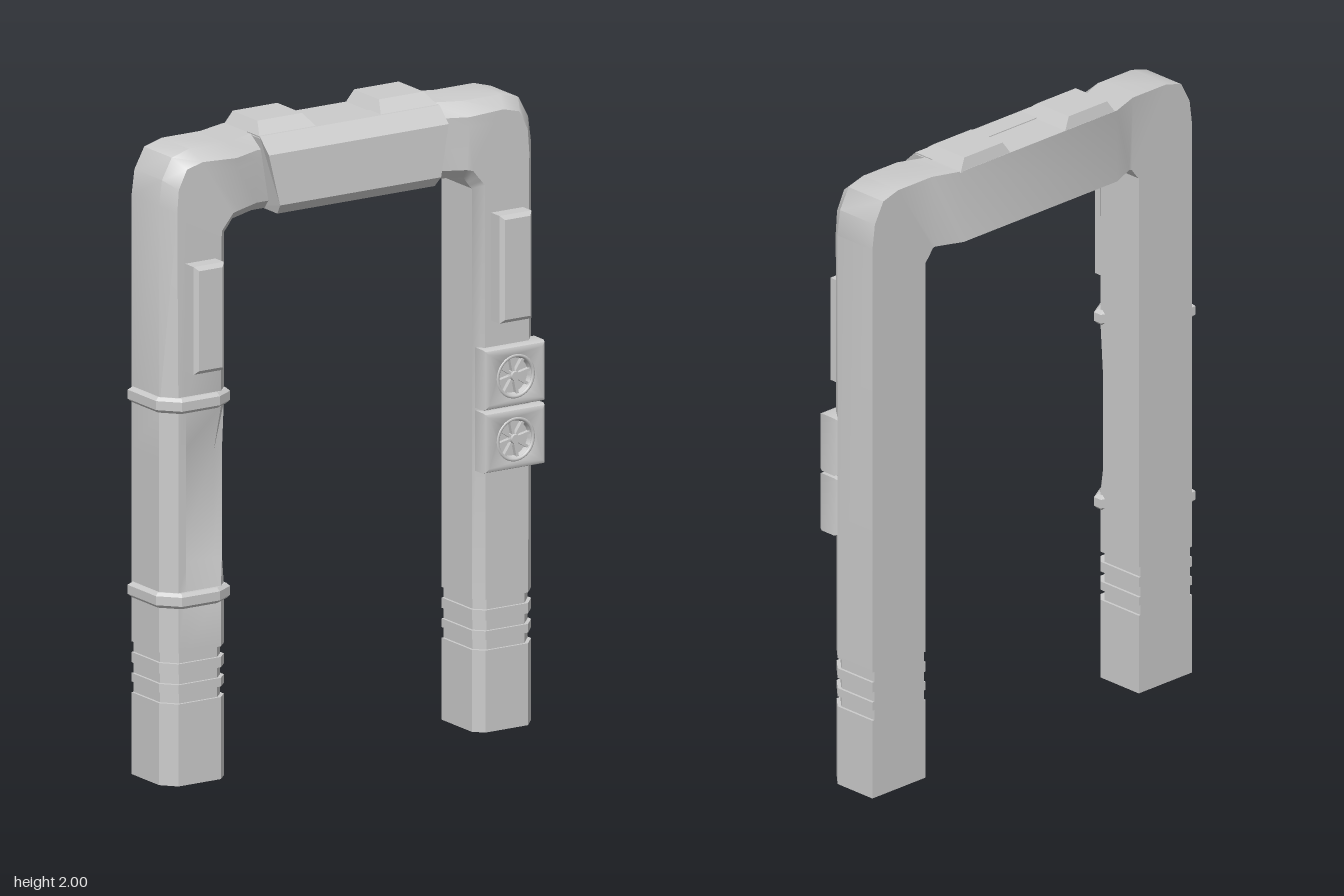
import * as THREE from 'three';
import { toCreasedNormals } from 'three/addons/utils/BufferGeometryUtils.js';

const mat = new THREE.MeshStandardMaterial({ color: 0xcccccc });

function add(parent, name, geo, x = 0, y = 0, z = 0) {
  const m = new THREE.Mesh(geo, mat);
  m.name = name;
  m.position.set(x, y, z);
  parent.add(m);
  return m;
}

// Rectangular shape centred on the origin
function rect(w, h) {
  return new THREE.Shape([[-w, -h], [w, -h], [w, h], [-w, h]].map(([x, y]) => new THREE.Vector2(x / 2, y / 2)));
}

// Extrusion from z0 to z1 whose bevel stays inside the given outline
function slab(shape, z0, z1, bevel, bevelSegments = 1) {
  return new THREE.ExtrudeGeometry(shape, {
    depth: z1 - z0 - 2 * bevel, bevelThickness: bevel, bevelSize: bevel, bevelOffset: -bevel, bevelSegments, curveSegments: 24,
  }).translate(0, 0, z0 + bevel);
}

// Stations along one half of the arch, foot to centre:
// inner x,y, outer x,y, back z, front z, groove inset, recess floor z
function halfStations(recessed) {
  const st = [];
  const leg = (y, inset = 0, floor = 1) => st.push([0.445, y, 0.6675, y, -0.11, 0.085, inset, floor]);
  leg(0);
  for (const y of [0.255, 0.315, 0.38]) {
    leg(y); leg(y, 0.008); leg(y + 0.033, 0.008); leg(y + 0.033);
  }
  if (recessed) {
    leg(0.6); leg(0.68, 0, 0.045); leg(1.01, 0, 0.045); leg(1.16);
  }
  const bend = [
    [0.445, 1.69, 0.6675, 1.80], [0.436, 1.7, 0.657, 1.88], [0.428, 1.71, 0.622, 1.945],
    [0.415, 1.728, 0.56, 1.963], [0.405, 1.73, 0.42, 1.963],
  ];
  for (const b of bend) st.push([...b, -0.11, 0.085, 0, 1]);
  st.push([0.32, 1.73, 0.32, 1.963, -0.145, 0.045, 0, 1]);
  return st;
}

// Chamfered section at one station
function section([xi, yi, xo, yo, zb, zf0, g, floor]) {
  const w = Math.hypot(xo - xi, yo - yi);
  const zf = zf0 - g, lip = w * 0.7;
  const profile = [
    [g, zb], [g, Math.min(zf - 0.03, floor)], [g + 0.03, Math.min(zf, floor)], [lip, Math.min(zf, floor)],
    [lip, zf], [w - 0.04 - g, zf], [w - g, zf - 0.045], [w - g, zb],
  ];
  return profile.map(([u, z]) => [xi + (xo - xi) * u / w, yi + (yo - yi) * u / w, z]);
}

// One continuous sweep: left leg, beam, right leg
function archGeometry() {
  const mirrored = halfStations(true).reverse().map(([a, b, c, ...rest]) => [-a, b, -c, ...rest]);
  const rings = [...halfStations(false), ...mirrored].map(section);
  const n = rings[0].length, last = (rings.length - 1) * n, index = [];
  for (let i = 0; i < rings.length - 1; i++) {
    for (let j = 0; j < n; j++) {
      const a = i * n + j, b = i * n + (j + 1) % n;
      index.push(a, b, b + n, a, b + n, a + n);
    }
  }
  for (let j = 1; j < n - 1; j++) {
    index.push(0, j + 1, j, last, last + j, last + j + 1);
  }
  const geo = new THREE.BufferGeometry();
  geo.setAttribute('position', new THREE.Float32BufferAttribute(rings.flat(2), 3));
  geo.setIndex(index);
  return toCreasedNormals(geo, 0.7);
}

// Front housing of the beam: side profile, narrowing towards the bottom
function housingGeometry() {
  const pts = [[-0.02, 1.728], [0.085, 1.728], [0.11, 1.76], [0.1, 1.918], [0.05, 1.966], [-0.02, 1.966]];
  const geo = new THREE.ExtrudeGeometry(new THREE.Shape(pts.map((p) => new THREE.Vector2(...p))), { depth: 0.645, bevelEnabled: false });
  geo.translate(0, 0, -0.3225).rotateY(-Math.PI / 2);
  const p = geo.attributes.position;
  for (let i = 0; i < p.count; i++) {
    const t = Math.max(0, (1.918 - p.getY(i)) / 0.19);
    p.setX(i, p.getX(i) * (1 - 0.125 * t));
  }
  geo.computeVertexNormals();
  return geo;
}

// Raised pad on top of the beam, sloped most at the front
function padGeometry() {
  const geo = new THREE.BoxGeometry(0.21, 0.04, 0.195);
  const p = geo.attributes.position;
  for (let i = 0; i < p.count; i++) {
    if (p.getY(i) < 0) continue;
    p.setX(i, Math.sign(p.getX(i)) * 0.08);
    p.setZ(i, p.getZ(i) > 0 ? 0.0475 : -0.0875);
  }
  geo.computeVertexNormals();
  return geo;
}

// Square unit with a round grille of spokes
function fanUnit(name, x, y) {
  const unit = new THREE.Group();
  unit.name = name;
  unit.position.set(x, y, 0);
  const shape = rect(0.22, 0.188);
  shape.holes.push(new THREE.Path().absarc(0, 0, 0.055, 0, Math.PI * 2, true));
  add(unit, 'fanHousing', toCreasedNormals(slab(shape, 0.035, 0.118, 0.015, 2), 0.5));
  add(unit, 'fanBack', new THREE.CylinderGeometry(0.06, 0.06, 0.02, 32).rotateX(Math.PI / 2), 0, 0, 0.086);
  add(unit, 'fanRim', new THREE.TorusGeometry(0.064, 0.006, 8, 32), 0, 0, 0.114);
  add(unit, 'fanHub', new THREE.CylinderGeometry(0.014, 0.018, 0.024, 16).rotateX(Math.PI / 2), 0, 0, 0.106);
  for (let i = 0; i < 8; i++) {
    const a = i * Math.PI / 4 + 0.2;
    const spoke = add(unit, 'fanSpoke', new THREE.BoxGeometry(0.05, 0.009, 0.016), Math.cos(a) * 0.036, Math.sin(a) * 0.036, 0.102);
    spoke.rotation.z = a;
  }
  return unit;
}

export function createModel() {
  const model = new THREE.Group();
  model.name = 'archway';
  add(model, 'archFrame', archGeometry(), 0.002);

  // Beam details
  add(model, 'beamHousing', housingGeometry(), 0.012);
  for (const s of [-1, 1]) add(model, 'beamPad', padGeometry(), 0.012 + s * 0.218, 1.98, -0.0475);

  // Upper leg panels
  add(model, 'rightLegPanel', slab(rect(0.108, 0.335), 0.06, 0.143, 0.012), -0.547, 1.455, 0);
  add(model, 'leftLegPanel', slab(rect(0.115, 0.335), 0.06, 0.143, 0.012), 0.554, 1.447, 0);

  // Clamp bands wrapped round the outer side and front of the right leg
  const bandPts = [[-0.68, -0.11], [-0.62, -0.11], [-0.55, 0], [-0.43, 0.04], [-0.43, 0.07], [-0.49, 0.105], [-0.625, 0.105], [-0.68, 0.045]];
  const bandShape = new THREE.Shape(bandPts.map(([x, z]) => new THREE.Vector2(x, -z)));
  for (const y of [0.553, 1.16]) {
    add(model, 'clampBand', slab(bandShape, 0, 0.048, 0.01).rotateX(-Math.PI / 2), 0, y, 0);
  }

  // Fan units on the left leg
  model.add(fanUnit('upperFan', 0.564, 1.103), fanUnit('lowerFan', 0.564, 0.907));
  return model;
}
